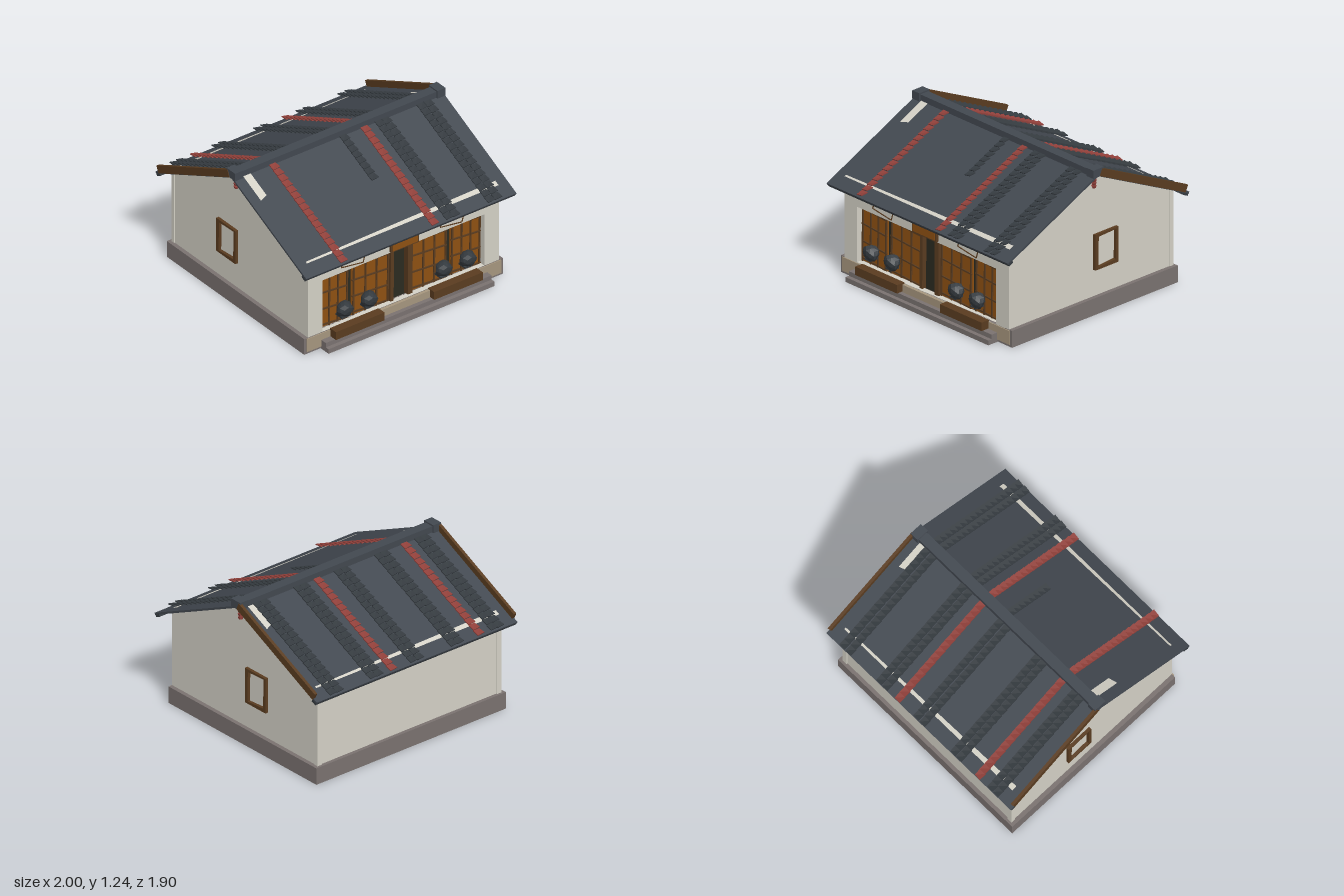
import * as THREE from 'three';

const mat = (name, color, double = false) => {
  const m = new THREE.MeshStandardMaterial({ color, flatShading: true });
  m.name = name;
  if (double) m.side = THREE.DoubleSide;
  return m;
};

export function createModel() {
  const plaster = mat('plaster', 0xd4d1c6, true);
  const stone = mat('plinthStone', 0x7a7270);
  const sand = mat('sandStone', 0xa6967e);
  const slate = mat('slateRoof', 0x424850);
  const tile = mat('darkTile', 0x353b40);
  const red = mat('redTile', 0x91403a);
  const timber = mat('darkTimber', 0x5a3c20);
  const amber = mat('amberPanel', 0x8e5012);
  const dark = mat('darkInterior', 0x2b2a20);

  const model = new THREE.Group();
  model.name = 'house';

  const add = (name, geo, material, x = 0, y = 0, z = 0, parent = model) => {
    const m = new THREE.Mesh(geo, material);
    m.name = name;
    m.position.set(x, y, z);
    parent.add(m);
    return m;
  };
  // Box given by its limits on each axis
  const box = (name, material, [x0, x1], [y0, y1], [z0, z1], parent = model) =>
    add(name, new THREE.BoxGeometry(x1 - x0, y1 - y0, z1 - z0), material,
      (x0 + x1) / 2, (y0 + y1) / 2, (z0 + z1) / 2, parent);
  const polygon = pts => new THREE.Shape(pts.map(p => new THREE.Vector2(...p)));
  const extrude = (shape, depth) => new THREE.ExtrudeGeometry(shape, { depth, bevelEnabled: false });
  // Flat bar between two points of a front-facing plane
  const bar = (name, material, [x0, y0], [x1, y1], width, z, depth, parent = model) => {
    const len = Math.hypot(x1 - x0, y1 - y0);
    const m = add(name, new THREE.BoxGeometry(len, width, depth), material, (x0 + x1) / 2, (y0 + y1) / 2, z, parent);
    m.rotation.z = Math.atan2(y1 - y0, x1 - x0);
    return m;
  };

  // Open plinth ring
  for (const s of [-1, 1]) {
    const xs = s < 0 ? [-0.94, -0.88] : [0.88, 0.94];
    box('plinthSide', stone, xs, [0, 0.14], [-0.875, 0.845]);
  }
  box('plinthBack', stone, [-0.88, 0.88], [0, 0.14], [-0.875, -0.82]);
  box('plinthFront', stone, [-0.88, 0.88], [0, 0.14], [0.79, 0.845]);
  box('plinthFacing', sand, [-0.92, 0.92], [0.02, 0.135], [0.845, 0.854]);

  // Steps and benches
  box('lowerStep', stone, [-0.785, 0.785], [0, 0.04], [0.85, 0.945]);
  box('upperStep', stone, [-0.785, 0.785], [0.04, 0.078], [0.85, 0.91]);
  box('entranceStep', sand, [-0.235, 0.235], [0.078, 0.14], [0.85, 0.875]);
  for (const x of [-0.47, 0.46]) box('bench', timber, [x - 0.23, x + 0.23], [0.08, 0.15], [0.85, 0.925]);

  // Dark inner room
  box('innerRoom', dark, [-0.85, 0.85], [0.004, 0.7], [-0.65, 0.65]);

  // Front wall with wide opening, back wall
  const front = polygon([[-0.905, 0.135], [0.905, 0.135], [0.905, 0.775], [-0.905, 0.775]]);
  front.holes.push(new THREE.Path(
    [[-0.765, 0.14], [-0.765, 0.6], [0.765, 0.6], [0.765, 0.14]].map(p => new THREE.Vector2(...p))));
  add('frontWall', extrude(front, 0.05), plaster, 0, 0, 0.795);
  box('backWall', plaster, [-0.905, 0.905], [0.135, 0.775], [-0.845, -0.805]);

  // Gable walls with windows and hanging ornaments
  const gable = polygon([[-0.845, 0.135], [0.845, 0.135], [0.845, 0.775], [0, 1.175], [-0.845, 0.775]]);
  for (const s of [-1, 1]) {
    const wall = add('gableWall', extrude(gable, 0.04), plaster, s > 0 ? 0.865 : -0.905, 0, 0);
    wall.rotation.y = Math.PI / 2;
    box('cornerPost', plaster, s > 0 ? [0.87, 0.912] : [-0.912, -0.87], [0.14, 0.775], [-0.855, -0.82]);

    const frame = polygon([[-0.12, 0.36], [0.12, 0.36], [0.12, 0.655], [-0.12, 0.655]]);
    frame.holes.push(new THREE.Path(
      [[-0.09, 0.378], [-0.085, 0.632], [0.098, 0.64], [0.092, 0.392]].map(p => new THREE.Vector2(...p))));
    const win = add('windowFrame', extrude(frame, 0.03), timber, s * 0.9, 0, -0.15);
    win.rotation.y = s * Math.PI / 2;

    for (let i = 0; i < 4; i++) {
      const bead = add('redOrnament', new THREE.CylinderGeometry(0.024 - i * 0.001, 0.016, 0.022, 6), red,
        s * 0.945, 1.155 - i * 0.026, 0);
      bead.rotation.x = 0.2;
    }
  }

  // Sliding lattice panels
  const panels = [[-0.765, -0.49], [-0.45, -0.1], [0.1, 0.445], [0.485, 0.765]];
  for (const [a, b] of panels) {
    const g = new THREE.Group();
    g.name = 'slidingPanel';
    model.add(g);
    box('panelSheet', amber, [a, b], [0.135, 0.6], [0.775, 0.79], g);
    for (const y of [0.155, 0.295, 0.44, 0.58])
      bar('latticeRail', timber, [a, y + 0.012], [b, y - 0.012], y > 0.5 ? 0.03 : 0.012, 0.794, 0.012, g);
    for (const t of [0.04, 0.36, 0.66, 0.97]) {
      const x = a + (b - a) * t;
      bar('latticeStile', timber, [x - 0.004, 0.14], [x + 0.004, 0.6], 0.012, 0.795, 0.012, g);
    }
  }
  box('doorPostLeft', timber, [0.06, 0.105], [0.135, 0.6], [0.77, 0.82]);
  bar('doorPostRight', timber, [-0.09, 0.135], [-0.085, 0.6], 0.03, 0.8, 0.04);
  box('lintel', timber, [-0.765, 0.765], [0.585, 0.602], [0.78, 0.815]);

  // Sign board
  box('signFrame', timber, [-0.135, 0.13], [0.612, 0.706], [0.845, 0.868]);
  box('signFace', amber, [-0.122, 0.117], [0.624, 0.694], [0.866, 0.874]);

  // Thin tilted outlines above the panels
  for (const dx of [0, 0.935]) {
    const pts = [[-0.555, 0.735], [-0.35, 0.735], [-0.385, 0.617], [-0.59, 0.647]];
    pts.forEach((p, i) => {
      const q = pts[(i + 1) % 4];
      bar('outlineStrip', timber, [p[0] + dx, p[1]], [q[0] + dx, q[1]], 0.006, 0.848, 0.007);
    });
  }

  // Faceted dark lanterns
  const rock = new THREE.IcosahedronGeometry(0.068, 1);
  const rp = rock.attributes.position;
  for (let i = 0; i < rp.count; i++) {
    const k = 1 + 0.09 * Math.sin(rp.getX(i) * 90 + rp.getY(i) * 140 + rp.getZ(i) * 60);
    rp.setXYZ(i, rp.getX(i) * k * 1.03, rp.getY(i) * k * 0.95, rp.getZ(i) * k * 0.85);
  }
  rock.computeVertexNormals();
  for (const x of [-0.58, -0.35, 0.355, 0.585]) {
    add('lantern', rock, tile, x, 0.288, 0.875);
    box('lanternFoot', tile, [x - 0.045, x + 0.02], [0.225, 0.24], [0.82, 0.9]);
  }

  // Tile wedge: lower edge lifted, one corner higher than the other
  const wedge = new THREE.BoxGeometry(0.06, 0.008, 0.06);
  const wp = wedge.attributes.position;
  for (let i = 0; i < wp.count; i++)
    if (wp.getZ(i) > 0) wp.setY(i, wp.getY(i) + (wp.getX(i) > 0 ? 0.02 : 0.008));
  wedge.computeVertexNormals();

  // Roof slopes; local z runs down the slope
  const pitch = Math.atan(0.471), slopeLength = 1.044;
  const makeSlope = (name, turn, strips) => {
    const pivot = new THREE.Group();
    pivot.name = name;
    pivot.position.y = 1.195;
    pivot.rotation.y = turn;
    const slope = new THREE.Group();
    slope.rotation.x = pitch;
    pivot.add(slope);
    model.add(pivot);
    box('roofSheet', slate, [-0.995, 0.995], [-0.016, 0], [0, slopeLength], slope);
    box('eaveBoard', tile, [-0.995, 0.995], [-0.035, -0.008], [slopeLength - 0.05, slopeLength - 0.005], slope);
    // Bare plaster patches
    const patch = (name, pts) => {
      const m = add(name, new THREE.ShapeGeometry(polygon(pts.map(([x, z]) => [x, -z]))), plaster, 0, 0.003, 0, slope);
      m.rotation.x = -Math.PI / 2;
    };
    patch('eavePlaster', [[-0.91, 0.925], [0.905, 0.925], [0.905, 0.88], [-0.91, 0.908]]);
    patch('ridgePlaster', [[-0.91, 0.29], [-0.84, 0.265], [-0.84, 0.04], [-0.91, 0.04]]);
    for (const [x, material, length] of strips) {
      const n = Math.round((length - 0.04) / 0.06);
      for (let i = 0; i < n; i++)
        add(material === red ? 'redRidgeTile' : 'darkRidgeTile', wedge, material,
          x, 0.006, 0.04 + (length - 0.04) * (i + 0.5) / n, slope);
    }
    return slope;
  };
  const full = slopeLength - 0.01;
  makeSlope('frontSlope', 0, [
    [-0.635, red, full], [0.23, red, full], [0.03, tile, 0.49],
    ...[0.365, 0.43, 0.76, 0.828].map(x => [x, tile, full])]);
  const backSlope = makeSlope('backSlope', Math.PI, [
    [0.635, red, full], [-0.23, red, full],
    ...[-0.83, -0.768, -0.433, -0.37, -0.038, 0.03, 0.365, 0.43, 0.76, 0.828].map(x => [-x, tile, full])]);

  // Timber verge boards on the back slope
  for (const s of [-1, 1])
    box('vergeBoard', timber, s > 0 ? [0.975, 1] : [-1, -0.975], [-0.012, 0.05], [0.02, 1.0], backSlope);

  // Ridge beam with end caps
  box('ridgeBeam', slate, [-0.95, 0.95], [1.165, 1.228], [-0.042, 0.042]);
  for (const x of [-0.958, 0.958]) box('ridgeCap', slate, [x - 0.038, x + 0.038], [1.172, 1.24], [-0.054, 0.054]);

  return model;
}
